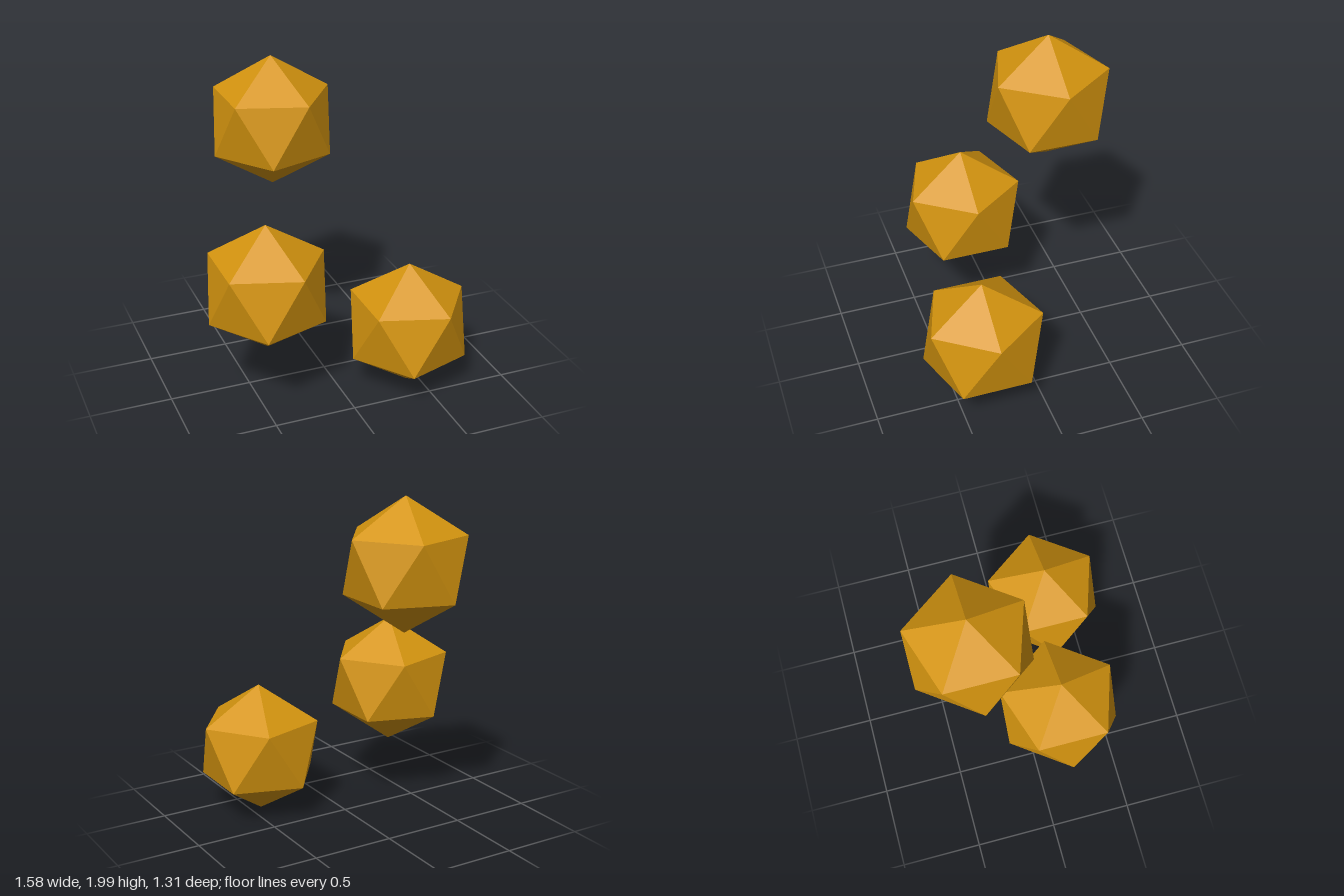
import * as THREE from 'three';

export function createModel() {
  const group = new THREE.Group();
  const radius = 0.403;
  const material = new THREE.MeshStandardMaterial({ color: 0xd4940f, flatShading: true });

  // Icosahedron tipped to stand on one corner, with an upper-ring corner towards +x
  const geometry = new THREE.IcosahedronGeometry(radius, 0);
  geometry.rotateZ(-Math.atan(2 / (1 + Math.sqrt(5))));

  // Three separate nuggets
  const nuggets = {
    topNugget: [-0.213, 1.597, -0.313],
    middleNugget: [-0.43, 0.753, 0.171],
    bottomNugget: [0.427, 0.41, 0.313],
  };
  for (const [name, position] of Object.entries(nuggets)) {
    const mesh = new THREE.Mesh(geometry, material);
    mesh.name = name;
    mesh.position.set(...position);
    group.add(mesh);
  }
  return group;
}
